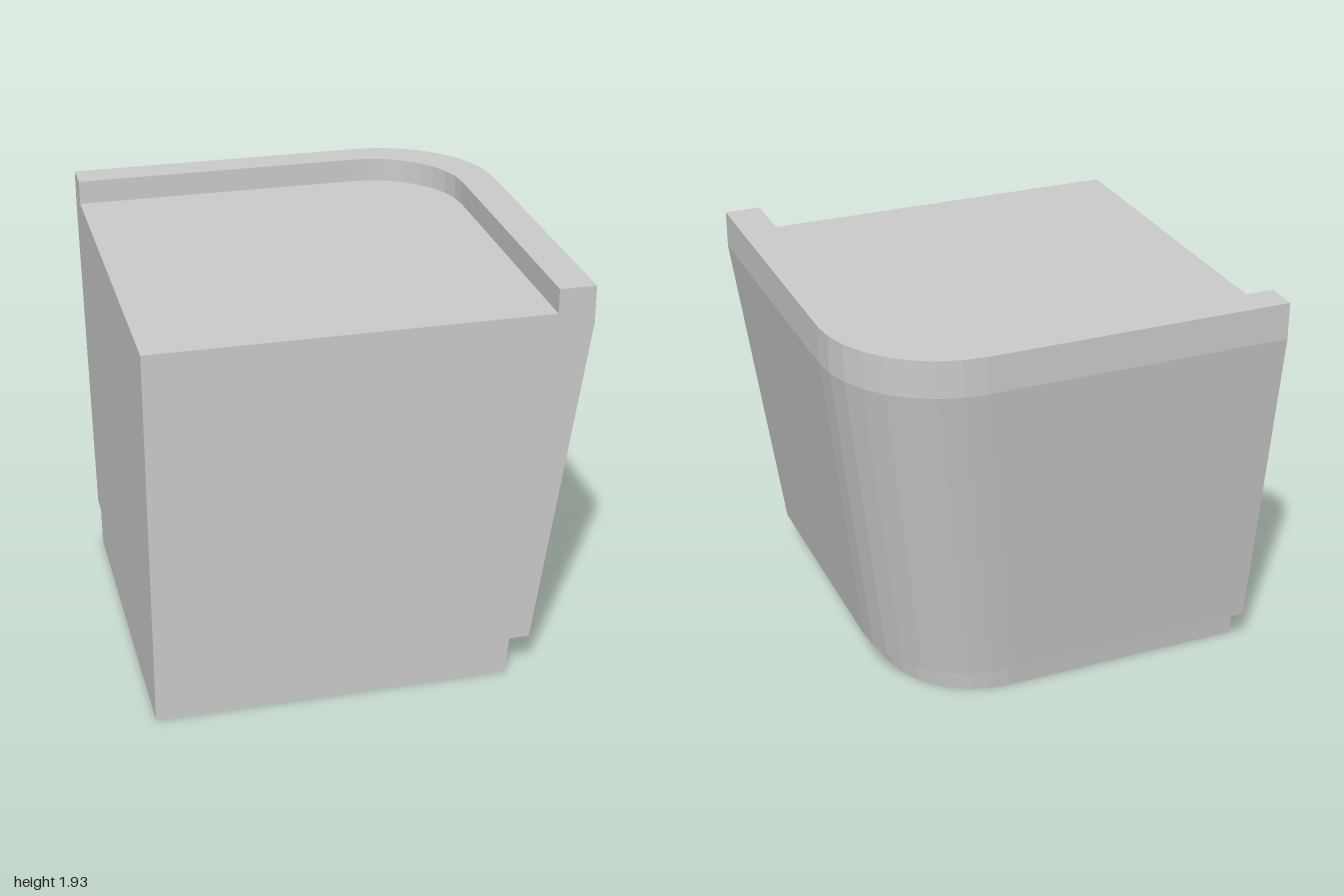
import * as THREE from 'three';

const STEPS = 8; // facets in the rounded corner
const FLOOR = 1.82, TOP = 1.935;

// Wall profile, bottom to top: side reach x, back reach z, corner radius r, height y
const P = [
  { x: 0.66, z: 0.66, r: 0.47, y: 0 },
  { x: 0.68, z: 0.68, r: 0.48, y: 0.18 },
  { x: 0.775, z: 0.78, r: 0.54, y: 0.18 },
  { x: 1, z: 1, r: 0.56, y: 1.76 },
  { x: 1, z: 1, r: 0.56, y: TOP },
  { x: 0.83, z: 0.843, r: 0.445, y: TOP },
  { x: 0.83, z: 0.843, r: 0.445, y: FLOOR },
];

// Open path at one level: front edge, along the side, round the corner, along the back
function path({ x, z, r, y }) {
  const pts = [[x, y, 1]];
  for (let i = 0; i <= STEPS; i++) {
    const a = (i / STEPS) * Math.PI / 2;
    pts.push([x - r + r * Math.cos(a), y, -z + r - r * Math.sin(a)]);
  }
  pts.push([-1, y, -z]);
  return pts;
}

function createMesh(name, triangles, material) {
  const geometry = new THREE.BufferGeometry();
  geometry.setAttribute('position', new THREE.Float32BufferAttribute(triangles.flat(2), 3));
  geometry.computeVertexNormals();
  const mesh = new THREE.Mesh(geometry, material);
  mesh.name = name;
  return mesh;
}

// Strips joining consecutive profile levels
function walls(from, to) {
  const tris = [];
  for (let k = from; k < to; k++) {
    const lo = path(P[k]), hi = path(P[k + 1]);
    for (let i = 0; i < lo.length - 1; i++) {
      tris.push([lo[i], lo[i + 1], hi[i + 1]], [lo[i], hi[i + 1], hi[i]]);
    }
  }
  return tris;
}

// Horizontal face fanned from the square front-left corner
function level(p, up) {
  const pts = path(p), corner = [-1, p.y, 1], tris = [];
  for (let i = 0; i < pts.length - 1; i++) {
    tris.push(up ? [corner, pts[i], pts[i + 1]] : [corner, pts[i + 1], pts[i]]);
  }
  return tris;
}

// Flat cut face following the wall profile
function cutFace(reach, place, flip) {
  const outline = [new THREE.Vector2(-1, 0), ...P.map(p => new THREE.Vector2(p[reach], p.y)), new THREE.Vector2(-1, FLOOR)];
  return THREE.ShapeUtils.triangulateShape(outline, []).map(face => {
    const tri = face.map(i => place(outline[i]));
    return flip ? tri.reverse() : tri;
  });
}

export function createModel() {
  const group = new THREE.Group();
  group.name = 'cornerBlock';
  const grey = new THREE.MeshStandardMaterial({ color: 0xcccccc });
  grey.name = 'light grey';

  group.add(
    createMesh('underside', level(P[0], false), grey),
    createMesh('plinth', walls(0, 2), grey),
    createMesh('taperedWall', walls(2, 3), grey),
    createMesh('rim', walls(3, 6), grey),
    createMesh('topSurface', level(P[6], true), grey),
    createMesh('frontCut', cutFace('x', v => [v.x, v.y, 1], false), grey),
    createMesh('sideCut', cutFace('z', v => [-1, v.y, -v.x], true), grey),
  );
  return group;
}
